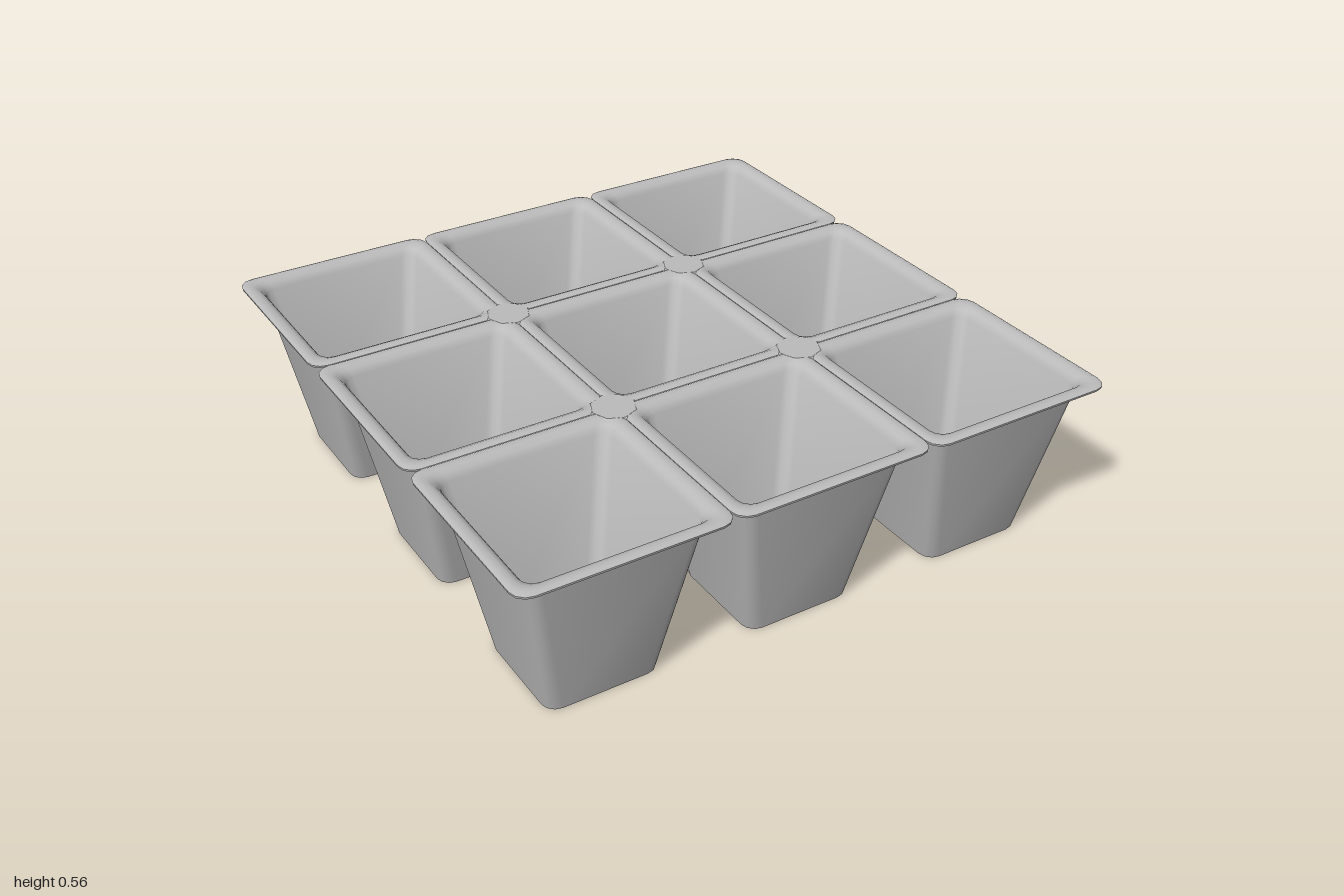
import * as THREE from 'three';
import { toCreasedNormals } from 'three/addons/utils/BufferGeometryUtils.js';

const PITCH = 0.667, CORNER_STEPS = 3;

// Rounded-square outline as [x, z] points
function roundedSquare(half, radius, steps = CORNER_STEPS) {
  const pts = [];
  for (let q = 0; q < 4; q++) {
    const mid = (q + 0.5) * Math.PI / 2;
    const cx = Math.sign(Math.cos(mid)) * (half - radius);
    const cz = Math.sign(Math.sin(mid)) * (half - radius);
    for (let s = 0; s <= steps; s++) {
      const a = (q + s / steps) * Math.PI / 2;
      pts.push([cx + radius * Math.cos(a), cz + radius * Math.sin(a)]);
    }
  }
  return pts;
}

// Wall and rim section: [half width, corner radius, height]
const SECTION = [
  [0.182, 0.045, 0], [0.276, 0.04, 0.525], [0.296, 0.042, 0.534],
  [0.332, 0.05, 0.543], [0.333, 0.05, 0.55],                       // rim edge
  [0.322, 0.05, 0.555], [0.302, 0.045, 0.554], [0.285, 0.042, 0.546],
  [0.271, 0.04, 0.525], [0.174, 0.04, 0.01],                       // inner wall
];
const EDGE_BAND = 3;

// Thin pot wall with its rolled rim; rim edges shared by two cells stay open
function potGeometry(cx, cz) {
  const loops = SECTION.map(([h, r, y]) => roundedSquare(h, r).map(([x, z]) => [x, y, z]));
  const n = loops[0].length, pos = [];
  for (let i = 0; i < loops.length - 1; i++) {
    for (let j = 0; j < n; j++) {
      const k = (j + 1) % n;
      const a = loops[i][j], b = loops[i][k], c = loops[i + 1][j], d = loops[i + 1][k];
      const mx = Math.abs(cx + (a[0] + b[0]) / 2), mz = Math.abs(cz + (a[2] + b[2]) / 2);
      if (i === EDGE_BAND && Math.max(mx, mz) < 0.94) continue;
      pos.push(...a, ...c, ...b, ...b, ...c, ...d);
    }
  }
  const g = new THREE.BufferGeometry();
  g.setAttribute('position', new THREE.Float32BufferAttribute(pos, 3));
  return toCreasedNormals(g, 0.7);
}

// Floor with a five-sided drain hole
function floorGeometry(turn) {
  const shape = new THREE.Shape(roundedSquare(0.182, 0.045).map(([x, z]) => new THREE.Vector2(x, z)));
  const hole = [];
  for (let i = 0; i < 5; i++) {
    const a = turn - i * Math.PI * 2 / 5;
    hole.push(new THREE.Vector2(0.05 * Math.cos(a), 0.05 * Math.sin(a)));
  }
  shape.holes.push(new THREE.Path(hole));
  const g = new THREE.ExtrudeGeometry(shape, { depth: 0.01, bevelEnabled: false });
  return g.rotateX(-Math.PI / 2);
}

export function createModel() {
  const tray = new THREE.Group();
  tray.name = 'seedTray';
  const plastic = new THREE.MeshStandardMaterial({ color: 0xbcbcbc, side: THREE.DoubleSide });
  plastic.name = 'greyPlastic';
  const add = (parent, name, geometry, x = 0, y = 0, z = 0) => {
    const mesh = new THREE.Mesh(geometry, plastic);
    mesh.name = name;
    mesh.position.set(x, y, z);
    parent.add(mesh);
  };

  // Nine pots
  for (let row = -1; row <= 1; row++) {
    for (let col = -1; col <= 1; col++) {
      const pot = new THREE.Group();
      pot.name = 'pot';
      pot.position.set(col * PITCH, 0, row * PITCH);
      add(pot, 'wallAndRim', potGeometry(col * PITCH, row * PITCH));
      add(pot, 'floor', floorGeometry(row * 0.9 + col * 0.5));
      tray.add(pot);
    }
  }

  // Webs closing the gaps where four rims meet
  const web = new THREE.CylinderGeometry(0.07, 0.085, 0.012, 8);
  for (const x of [-1, 1]) {
    for (const z of [-1, 1]) add(tray, 'cornerWeb', web, x * PITCH / 2, 0.549, z * PITCH / 2);
  }
  return tray;
}
